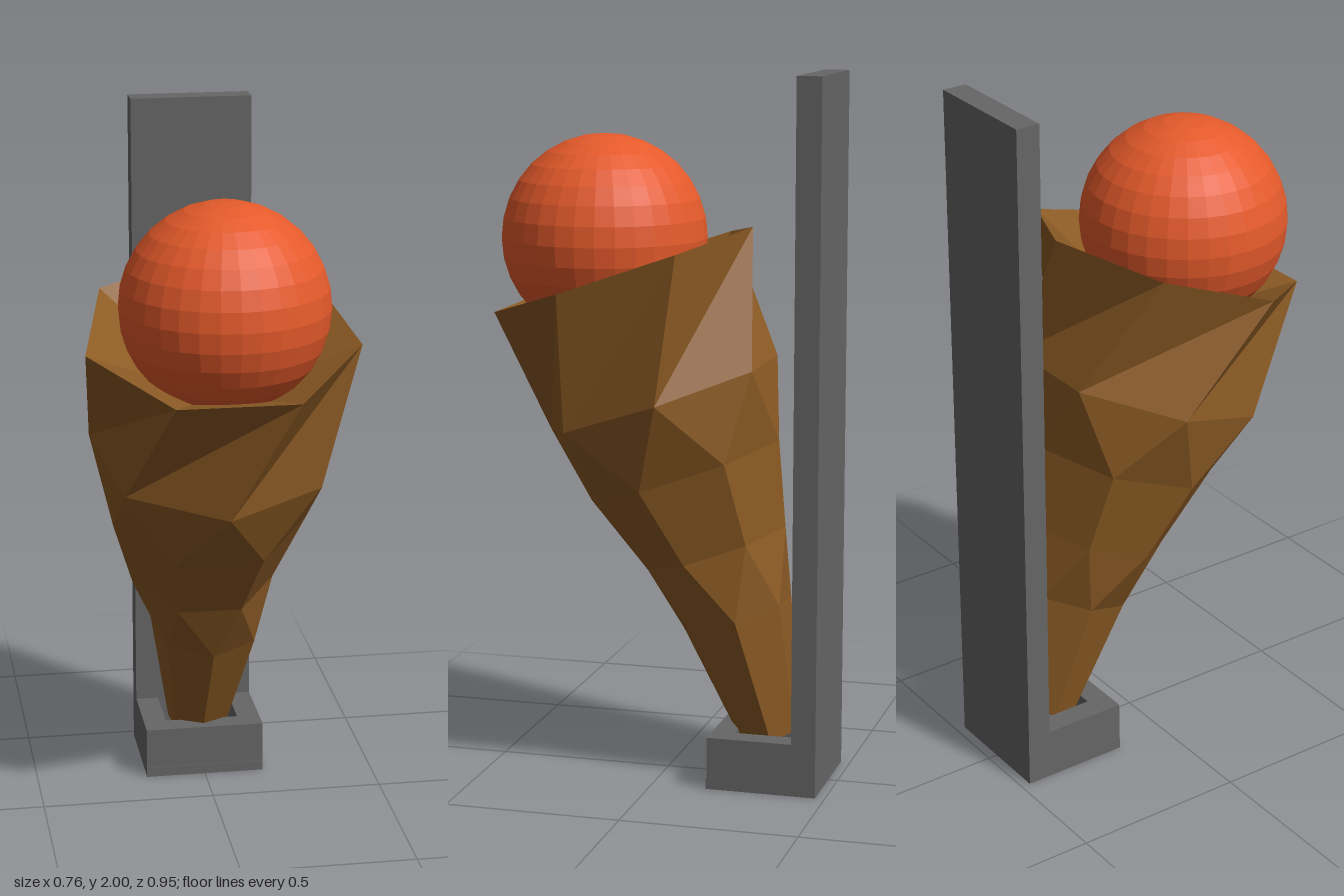
import * as THREE from 'three';

const SIDES = 7;
const STEP = Math.PI / SIDES; // half of one facet, used for the twist

// Rings of the handle, bottom to top: radius, centre x, y, z, twist in half facets
const RINGS = [
  [0.09, 0.00, 0.12, -0.305, 2],
  [0.165, 0.01, 0.473, -0.205, 2],
  [0.21, -0.015, 0.66, -0.14, 1],
  [0.285, -0.01, 0.883, -0.05, 1],
  [0.35, -0.005, 1.09, 0.02, 0],
  [0.39, 0.00, 1.447, 0.126, 1],
];

// Every ring lies in a plane that dips towards the front
function ringPoint([r, x, y, z, twist], i) {
  const a = 2 * STEP * i + STEP * twist;
  return [x + r * Math.sin(a), y - 0.326 * r * Math.cos(a), z + 0.945 * r * Math.cos(a)];
}

function handleGeometry() {
  const pos = [];
  const tri = (...corners) => corners.forEach((c) => pos.push(...c));
  const base = RINGS[0], rim = RINGS[RINGS.length - 1];
  for (let i = 0; i < SIDES; i++) {
    // sides
    for (let k = 0; k < RINGS.length - 1; k++) {
      const a = ringPoint(RINGS[k], i), b = ringPoint(RINGS[k], i + 1);
      const c = ringPoint(RINGS[k + 1], i + 1), d = ringPoint(RINGS[k + 1], i);
      tri(a, b, c);
      tri(a, c, d);
    }
    // hollow bowl on top, cap below
    tri(ringPoint(rim, i), ringPoint(rim, i + 1), [0, 1.25, 0.07]);
    tri(ringPoint(base, i + 1), ringPoint(base, i), base.slice(1, 4));
  }
  const g = new THREE.BufferGeometry();
  g.setAttribute('position', new THREE.Float32BufferAttribute(pos, 3));
  g.computeVertexNormals();
  return g;
}

export function createModel() {
  const model = new THREE.Group();
  const metal = new THREE.MeshStandardMaterial({ color: 0x666666, flatShading: true });
  const wood = new THREE.MeshStandardMaterial({ color: 0x8b5a24, flatShading: true });
  const fire = new THREE.MeshStandardMaterial({ color: 0xe55a2b, flatShading: true });

  const add = (parent, name, geometry, material, x, y, z) => {
    const mesh = new THREE.Mesh(geometry, material);
    mesh.name = name;
    mesh.position.set(x, y, z);
    parent.add(mesh);
    return mesh;
  };
  const box = (w, h, d) => new THREE.BoxGeometry(w, h, d);

  // Wall bracket: tall back plate and an open square socket
  const bracket = new THREE.Group();
  bracket.name = 'wallBracket';
  model.add(bracket);
  add(bracket, 'backPlate', box(0.35, 2, 0.07), metal, 0, 1, -0.438);
  add(bracket, 'socketFloor', box(0.35, 0.03, 0.245), metal, 0, 0.015, -0.2805);
  add(bracket, 'socketFront', box(0.35, 0.12, 0.065), metal, 0, 0.09, -0.1925);
  for (const side of [-1, 1]) {
    add(bracket, side > 0 ? 'socketLeft' : 'socketRight',
      box(0.067, 0.12, 0.178), metal, side * 0.1415, 0.09, -0.314);
  }

  // Twisted wooden handle, leaning forward
  add(model, 'torchHandle', handleGeometry(), wood, 0, 0, 0);

  // Glowing ball resting in the bowl
  add(model, 'flameBall', new THREE.SphereGeometry(0.29, 32, 16), fire, 0.003, 1.535, 0.185);

  return model;
}
